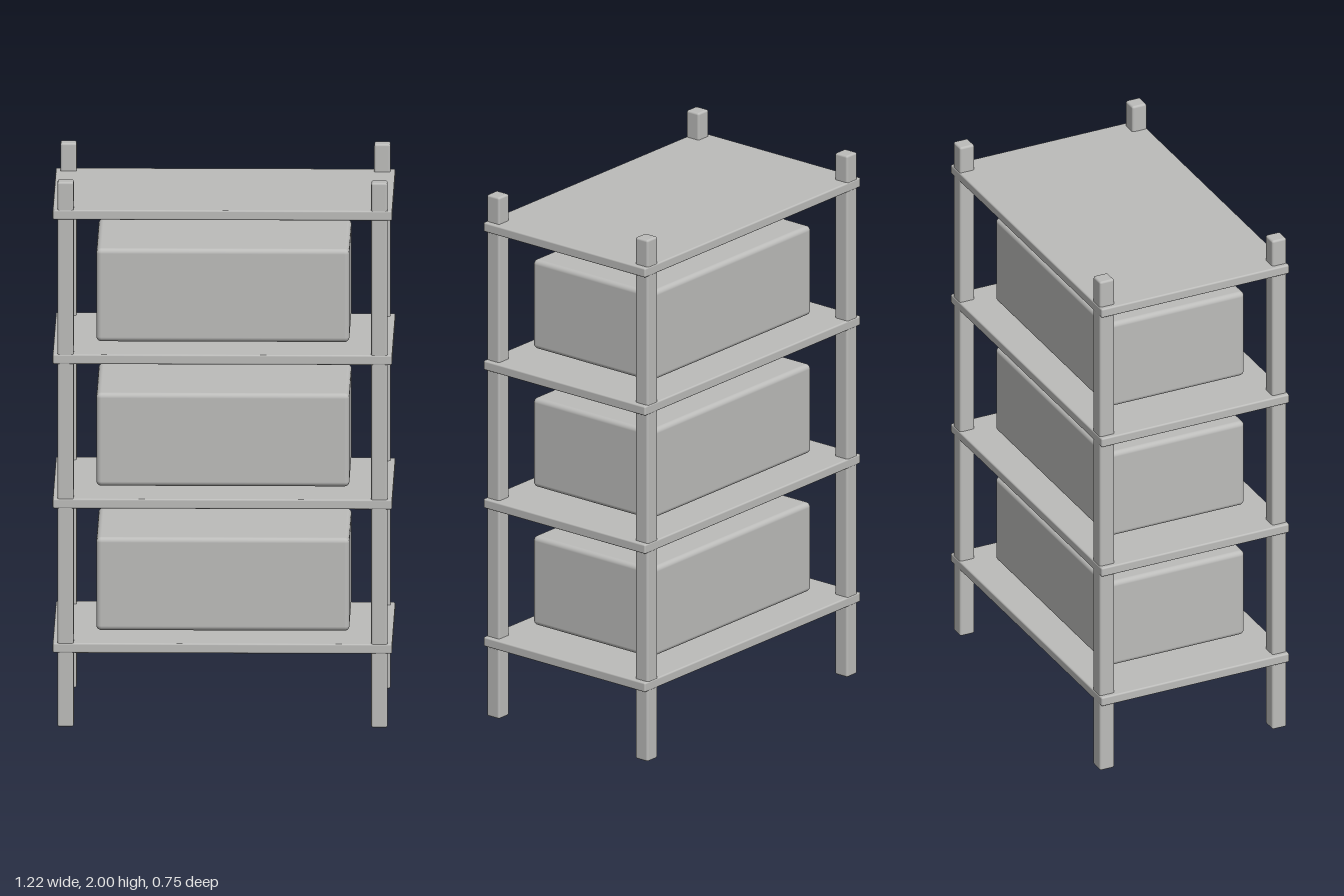
import * as THREE from 'three';
import { RoundedBoxGeometry } from 'three/addons/geometries/RoundedBoxGeometry.js';

export function createModel() {
  const model = new THREE.Group();
  model.name = 'shelvingUnit';

  const grey = new THREE.MeshStandardMaterial({ color: 0xbcbcba });
  grey.name = 'light grey';

  // Box with softly rounded edges, placed by its centre
  function block(name, size, position, radius) {
    const mesh = new THREE.Mesh(new RoundedBoxGeometry(...size, 3, radius), grey);
    mesh.name = name;
    mesh.position.set(...position);
    model.add(mesh);
  }

  // Four corner posts
  for (const [side, sx] of [['left', 1], ['right', -1]]) {
    for (const [end, sz] of [['Front', 1], ['Back', -1]]) {
      block(`${side}${end}Post`, [0.058, 2, 0.058], [sx * 0.564, 1, sz * 0.346], 0.008);
    }
  }

  // Four evenly spaced shelves, with a storage box over the lower three
  const firstShelf = 0.29;
  const spacing = 0.53;
  for (let i = 0; i < 4; i++) {
    const y = firstShelf + i * spacing;
    block(`shelf${i + 1}`, [1.22, 0.036, 0.754], [0, y, 0], 0.006);
    if (i < 3) block(`storageBox${i + 1}`, [0.91, 0.342, 0.554], [0, y + 0.214, 0], 0.018);
  }

  return model;
}
